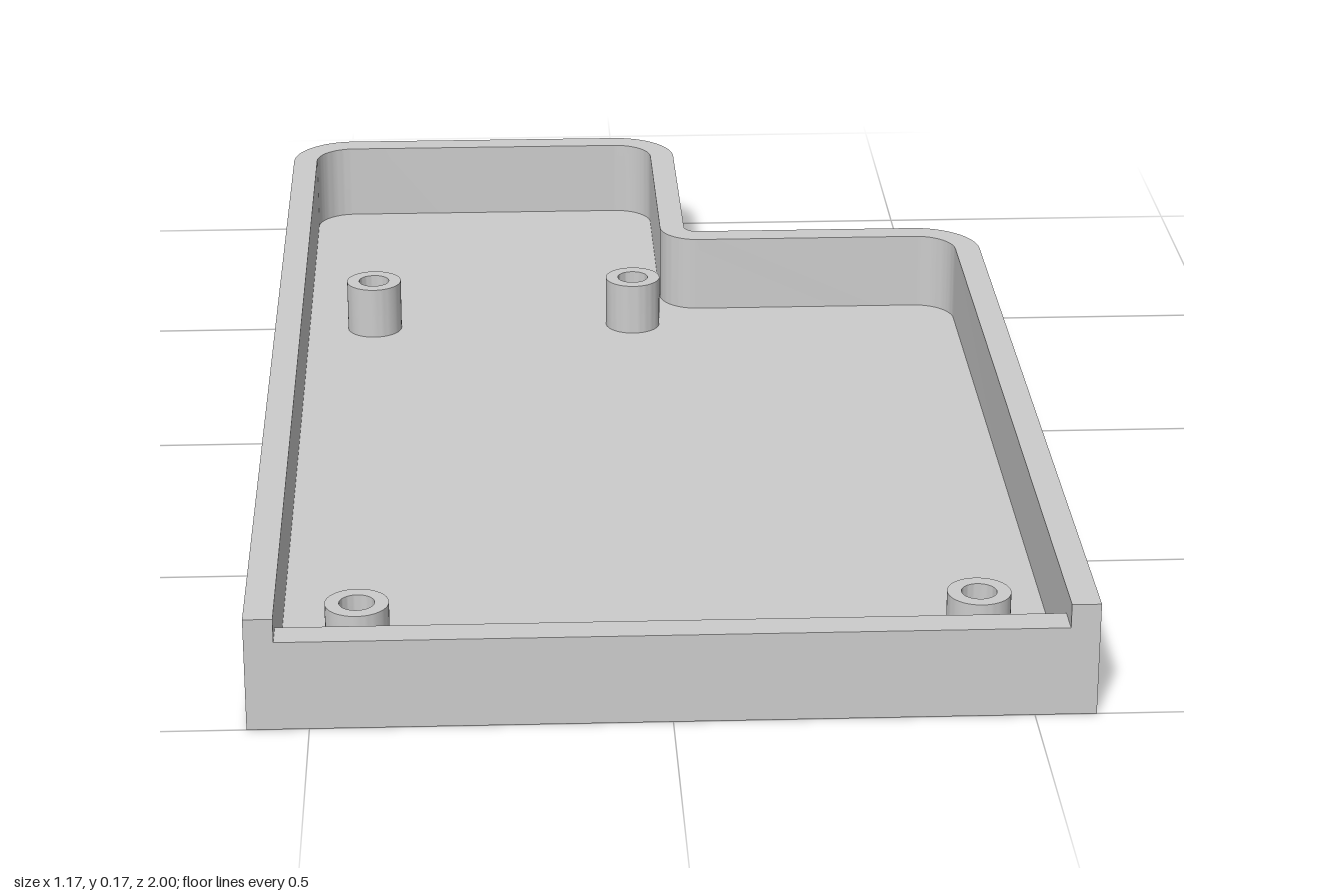
import * as THREE from 'three';
import { toCreasedNormals } from 'three/addons/utils/BufferGeometryUtils.js';

const HEIGHT = 0.167, LIP = 0.132, FLOOR = 0.042, POST_TOP = 0.126;
const W = 0.586, STEP_X = 0.093, STEP = 0.502, WALL = 0.041, LIP_IN = 0.953;
const HOLE_R = 0.025, POST_R = 0.045;
const POSTS = [[-0.435, -0.395], [0, -0.395], [-0.435, 0.865], [0.435, 0.865]];

// Open L-shaped contour from front left round the back to front right, inset by d.
// Plan coordinates are (x, -z).
function contour(d, front) {
  const w = W - d, sx = STEP_X - d, s = STEP - d, b = 1 - d;
  const r = 0.104 - d, c = 0.022 + d, Q = Math.PI / 2;
  const p = new THREE.Path();
  p.moveTo(w, -front);
  p.lineTo(w, s - r);
  p.absarc(w - r, s - r, r, 0, Q, false);
  p.absarc(sx + c, s + c, c, 3 * Q, 2 * Q, true); // concave notch corner
  p.absarc(sx - r, b - r, r, 0, Q, false);
  p.absarc(-w + r, b - r, r, Q, 2 * Q, false);
  p.lineTo(-w, -front);
  return p.getPoints(12);
}

// Extrude a plan shape upward from y0 to y1
function slab(shape, y0, y1) {
  const g = new THREE.ExtrudeGeometry(shape, { depth: y1 - y0, bevelEnabled: false, curveSegments: 24 });
  g.rotateX(-Math.PI / 2).translate(0, y0, 0);
  return toCreasedNormals(g, Math.PI / 6);
}

function circle(Type, x, z, r) {
  return new Type().absarc(x, -z, r, 0, Math.PI * 2, false);
}

export function createModel() {
  const group = new THREE.Group();
  group.name = 'enclosureTray';
  const grey = new THREE.MeshStandardMaterial({ color: 0xcccccc });
  grey.name = 'grey plastic';
  const add = (name, geometry) => {
    const mesh = new THREE.Mesh(geometry, grey);
    mesh.name = name;
    group.add(mesh);
    return mesh;
  };

  // Floor with screw holes
  const floor = new THREE.Shape(contour(WALL, LIP_IN));
  for (const [x, z] of POSTS) floor.holes.push(circle(THREE.Path, x, z, HOLE_R));
  add('floor', slab(floor, 0, FLOOR));

  // Side and back wall, open at the front
  const wall = new THREE.Shape([...contour(0, 1), ...contour(WALL, 1).reverse()]);
  add('wall', slab(wall, 0, HEIGHT));

  // Lower front wall
  const lip = add('frontLip', new THREE.BoxGeometry(2 * (W - WALL), LIP, 1 - LIP_IN));
  lip.position.set(0, LIP / 2, (1 + LIP_IN) / 2);

  // Hollow screw posts
  for (const [x, z] of POSTS) {
    const ring = circle(THREE.Shape, x, z, POST_R);
    ring.holes.push(circle(THREE.Path, x, z, HOLE_R));
    add('screwPost', slab(ring, FLOOR, POST_TOP));
  }
  return group;
}
